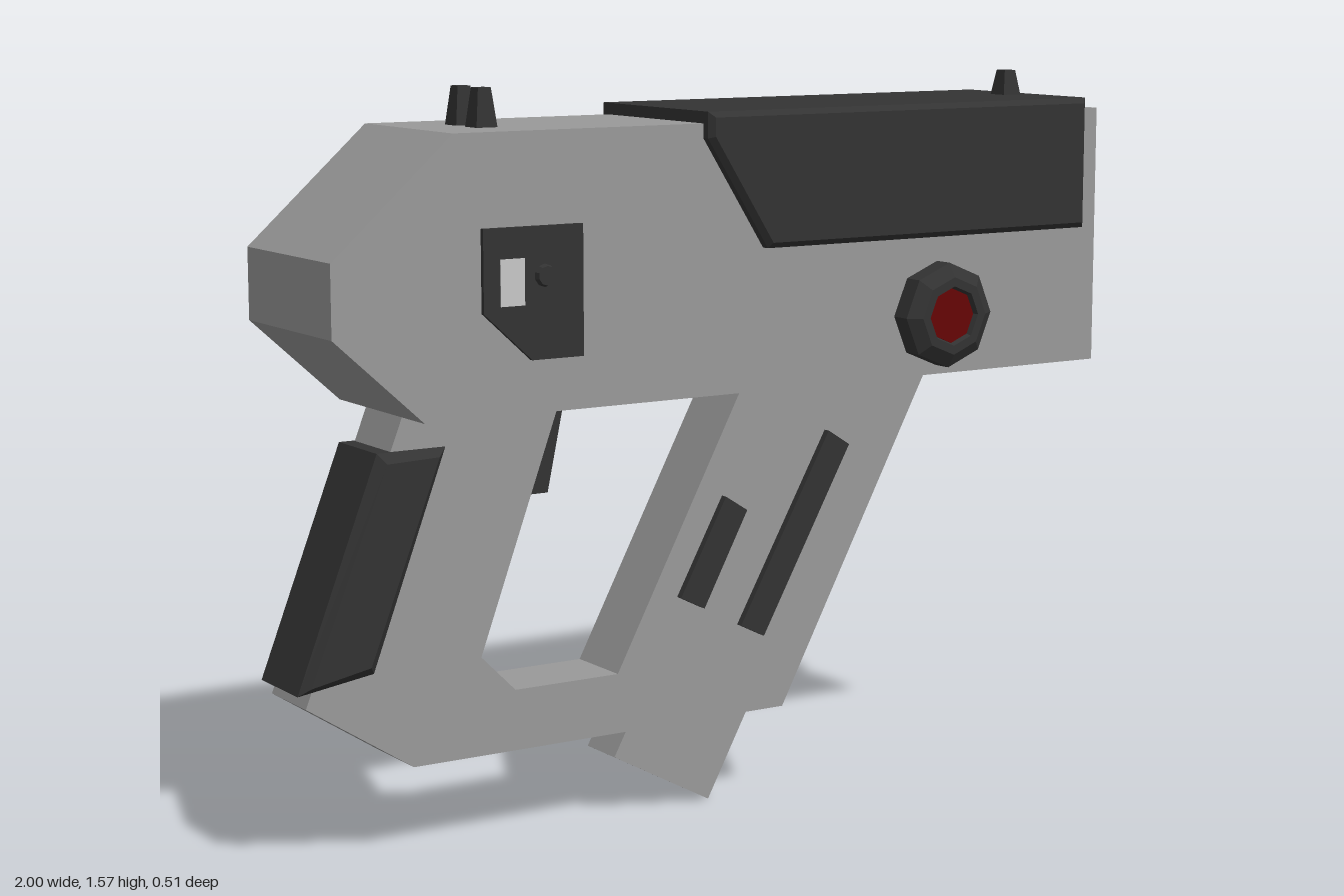
import * as THREE from 'three';

const grey = new THREE.MeshStandardMaterial({ color: 0x999999 });
grey.name = 'body grey';
const dark = new THREE.MeshStandardMaterial({ color: 0x333333 });
dark.name = 'dark trim';
const red = new THREE.MeshStandardMaterial({ color: 0x660505 });
red.name = 'lens red';
const pale = new THREE.MeshStandardMaterial({ color: 0xc8c8c8 });
pale.name = 'window pale grey';

export function createModel() {
  const model = new THREE.Group();
  model.name = 'blaster';

  function add(name, geometry, material, x = 0, y = 0, z = 0, parent = model) {
    const flat = geometry.index ? geometry.toNonIndexed() : geometry;
    flat.computeVertexNormals();
    const mesh = new THREE.Mesh(flat, material);
    mesh.name = name;
    mesh.position.set(x, y, z);
    parent.add(mesh);
    return mesh;
  }

  const toShape = (points) => new THREE.Shape(points.map(([x, y]) => new THREE.Vector2(x, y)));

  // Side profile extruded evenly about z = 0, with an optional chamfer kept inside the outline
  function slab(name, points, half, material, bevel = 0) {
    const geometry = new THREE.ExtrudeGeometry(toShape(points), {
      depth: 2 * (half - bevel), bevelEnabled: bevel > 0, bevelThickness: bevel,
      bevelSize: bevel, bevelOffset: -bevel, bevelSegments: 1,
    });
    geometry.translate(0, 0, bevel - half);
    return add(name, geometry, material);
  }

  // Main housing
  slab('body', [[-0.96, 1.1], [-0.76, 0.92], [0.95, 0.92], [0.95, 1.49], [-0.69, 1.49], [-0.96, 1.25]], 0.19, grey);

  // Grip, lower bridge and magazine well in one loop-shaped frame
  slab('frame', [
    [-0.75, 0.93], [-0.98, 0.345], [-0.74, 0.19], [0.175, 0.19], [0.57, 0.93],
    [0.075, 0.93], [-0.25, 0.32], [-0.5, 0.32], [-0.58, 0.4], [-0.385, 0.93],
  ], 0.08, grey);
  slab('magazine', [[-0.245, 0.13], [-0.005, 0], [0.15, 0.285], [-0.09, 0.415]], 0.056, grey);

  // Dark fittings
  slab('topCover', [[-0.105, 1.46], [0.045, 1.225], [0.9, 1.225], [0.9, 1.515], [-0.105, 1.515]], 0.22, dark, 0.012);
  slab('gripPad', [[-0.815, 0.85], [-1, 0.375], [-0.83, 0.4], [-0.66, 0.85]], 0.105, dark, 0.02);
  slab('trigger', [[-0.43, 0.93], [-0.47, 0.72], [-0.39, 0.72], [-0.345, 0.93]], 0.03, dark);
  slab('longRib', [[0.055, 0.39], [0.115, 0.36], [0.34, 0.765], [0.285, 0.8]], 0.096, dark);
  slab('shortRib', [[-0.1, 0.47], [-0.04, 0.44], [0.07, 0.645], [0.015, 0.68]], 0.096, dark);
  slab('sidePanel', [[-0.63, 1.13], [-0.52, 1.03], [-0.4, 1.03], [-0.4, 1.3], [-0.63, 1.3]], 0.2, dark);

  // Details repeated on both flanks
  const knobProfile = [[0.115, 0], [0.115, 0.045], [0.085, 0.065], [0.065, 0.065], [0.06, 0.05], [0, 0.05]]
    .map(([r, h]) => new THREE.Vector2(r, h));
  for (const side of [1, -1]) {
    const label = side > 0 ? 'left' : 'right';
    add(label + 'Window', new THREE.BoxGeometry(0.055, 0.095, 0.006), pale, -0.565, 1.19, side * 0.2);
    const button = new THREE.CylinderGeometry(0.02, 0.026, 0.02, 10).rotateX(Math.PI / 2);
    const knob = new THREE.Group();
    knob.name = label + 'Knob';
    knob.position.set(0.505, 1.055, side * 0.19);
    knob.rotation.y = side > 0 ? 0 : Math.PI;
    model.add(knob);
    add('knobRim', new THREE.LatheGeometry(knobProfile, 8).rotateX(Math.PI / 2), dark, 0, 0, 0, knob);
    const lens = new THREE.CylinderGeometry(0.06, 0.06, 0.006, 8).rotateX(Math.PI / 2);
    add('knobLens', lens, red, 0, 0, 0.051, knob);
    const buttonMesh = add(label + 'Button', button, dark, -0.49, 1.2, side * 0.202);
    buttonMesh.rotation.y = knob.rotation.y;
  }

  // Muzzle: a chamfered ring around a sunken plate
  const octagon = (w, h, c) => [
    [-w, -h + c], [-w + c * 0.5, -h], [w - c * 0.5, -h], [w, -h + c],
    [w, h - c], [w - c * 0.5, h], [-w + c * 0.5, h], [-w, h - c],
  ];
  const ring = toShape(octagon(0.065, 0.135, 0.03));
  ring.holes.push(toShape(octagon(0.048, 0.118, 0.025)));
  const ringGeometry = new THREE.ExtrudeGeometry(ring, { depth: 0.06, bevelEnabled: false });
  add('muzzleRing', ringGeometry.rotateY(Math.PI / 2), dark, 0.94, 1.175, 0);
  add('muzzlePlate', new THREE.BoxGeometry(0.02, 0.25, 0.105), dark, 0.95, 1.175, 0);

  // Sights: small tapered posts
  const post = (name, x, z, y, height) => {
    const geometry = new THREE.CylinderGeometry(0.021, 0.035, height, 4).rotateY(Math.PI / 4);
    add(name, geometry, dark, x, y + height / 2, z);
  };
  post('rearSightLeft', -0.545, 0.043, 1.485, 0.085);
  post('rearSightRight', -0.545, -0.043, 1.485, 0.085);
  post('frontSight', 0.84, 0, 1.51, 0.06);

  return model;
}
